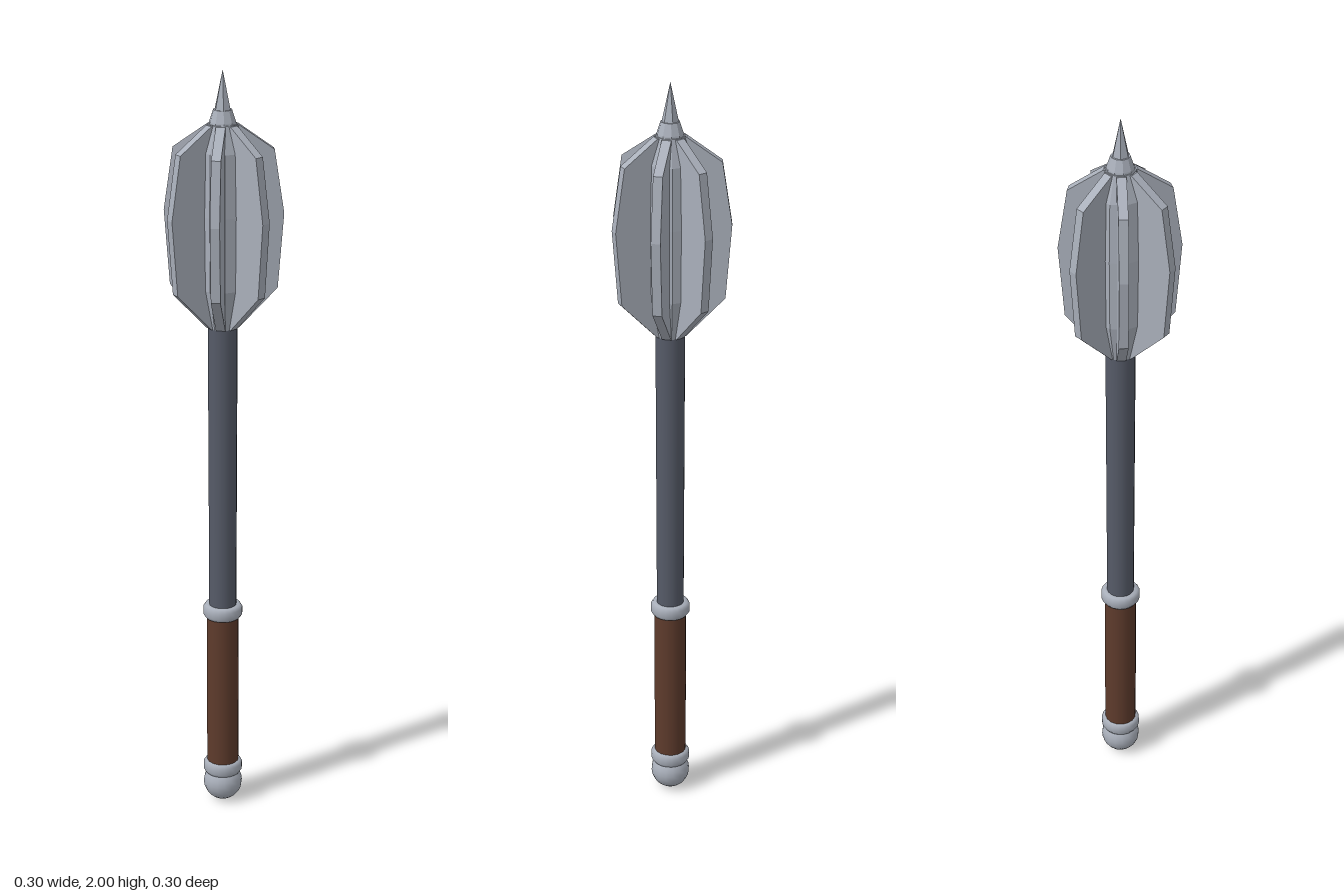
import * as THREE from 'three';

const steel = new THREE.MeshStandardMaterial({ color: 0xa9afba });
steel.name = 'polished steel';
const iron = new THREE.MeshStandardMaterial({ color: 0x565b68 });
iron.name = 'dark iron';
const leather = new THREE.MeshStandardMaterial({ color: 0x5e3b2c });
leather.name = 'brown leather';

// Turned part from [radius, y] points; facets are flat when asked for
function turned(name, points, sides, material, flat = false) {
  let geometry = new THREE.LatheGeometry(points.map(([r, y]) => new THREE.Vector2(r, y)), sides);
  if (flat) {
    geometry = geometry.toNonIndexed();
    geometry.computeVertexNormals();
  }
  const mesh = new THREE.Mesh(geometry, material);
  mesh.name = name;
  return mesh;
}

export function createModel() {
  const mace = new THREE.Group();
  mace.name = 'mace';
  mace.position.x = -0.006; // seven flanges are wider on one side of the axis

  // Handle: pommel, leather grip, rings and shaft
  const pommel = new THREE.Mesh(new THREE.SphereGeometry(0.052, 16, 12), steel);
  pommel.name = 'pommel';
  pommel.position.y = 0.052;
  mace.add(pommel);
  mace.add(turned('grip', [[0.042, 0.1], [0.043, 0.33], [0.042, 0.56]], 16, leather));
  mace.add(turned('shaft', [[0.036, 0.56], [0.038, 1.37]], 16, iron));
  [['lowerRing', 0.1], ['upperRing', 0.56]].forEach(([name, y]) => {
    mace.add(turned(name, [
      [0.036, y - 0.018], [0.046, y - 0.018], [0.052, y - 0.009],
      [0.052, y + 0.009], [0.046, y + 0.018], [0.036, y + 0.018],
    ], 20, steel));
  });

  // Head: faceted core, collar and six-sided spike
  mace.add(turned('headCore', [
    [0, 1.345], [0.04, 1.345], [0.062, 1.45], [0.064, 1.64], [0.06, 1.8], [0.038, 1.867], [0, 1.867],
  ], 10, steel, true));
  mace.add(turned('collar', [[0.036, 1.86], [0.034, 1.872], [0.024, 1.902], [0, 1.902]], 10, steel, true));
  const spike = new THREE.Mesh(
    new THREE.ConeGeometry(0.023, 0.105, 6).toNonIndexed(), steel);
  spike.geometry.computeVertexNormals();
  spike.name = 'spike';
  spike.position.y = 1.9475;
  mace.add(spike);

  // Seven flanges around the core
  const outline = new THREE.Shape([
    [0.02, 1.345], [0.04, 1.345], [0.138, 1.447], [0.153, 1.64],
    [0.128, 1.802], [0.04, 1.865], [0.02, 1.865],
  ].map(([x, y]) => new THREE.Vector2(x, y)));
  const flangeGeometry = new THREE.ExtrudeGeometry(outline, { depth: 0.024, bevelEnabled: false });
  flangeGeometry.translate(0, 0, -0.012);
  for (let i = 0; i < 7; i++) {
    const flange = new THREE.Mesh(flangeGeometry, steel);
    flange.name = `flange${i + 1}`;
    flange.rotation.y = (i / 7) * Math.PI * 2;
    mace.add(flange);
  }

  const model = new THREE.Group();
  model.add(mace);
  return model;
}
